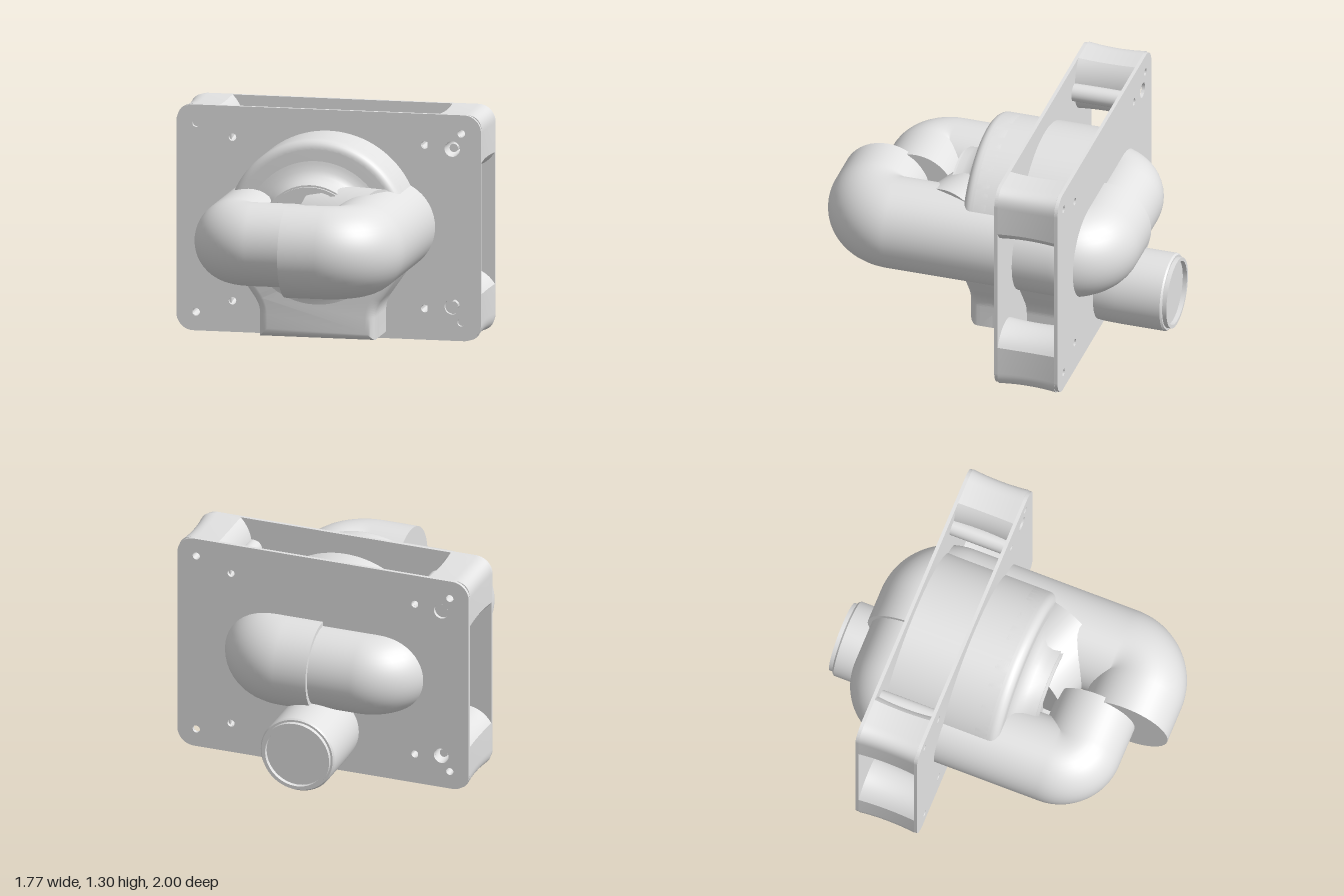
import * as THREE from 'three';
import { toCreasedNormals } from 'three/addons/utils/BufferGeometryUtils.js';

const CY = 0.653; // height of the pump axis
const W = 0.887, H = 0.652; // half width and half height of the plates

export function createModel() {
  const model = new THREE.Group();
  const grey = new THREE.MeshStandardMaterial({ color: 0xe2e2e2 });
  grey.name = 'lightGrey';

  const add = (name, geo, x = 0, y = 0, z = 0, crease = 0.6) => {
    const mesh = new THREE.Mesh(crease ? toCreasedNormals(geo, crease) : geo, grey);
    mesh.name = name;
    mesh.position.set(x, y, z);
    model.add(mesh);
  };
  const hole = (shape, x, y, r) => {
    const p = new THREE.Path();
    p.absarc(x, y, r, 0, Math.PI * 2, true);
    shape.holes.push(p);
  };
  const lathe = (pts, turn) =>
    new THREE.LatheGeometry(pts.map(p => new THREE.Vector2(...p)), 64).rotateX(turn);

  // Two mounting plates; each has its ports on one side only
  function plate(name, z, portSide) {
    const s = new THREE.Shape(), r = 0.1;
    s.absarc(W - r, H - r, r, 0, Math.PI / 2);
    s.absarc(r - W, H - r, r, Math.PI / 2, Math.PI);
    s.absarc(r - W, r - H, r, Math.PI, Math.PI * 1.5);
    s.absarc(W - r, r - H, r, Math.PI * 1.5, Math.PI * 2);
    for (const sy of [-1, 1]) {
      for (const sx of [-1, 1]) {
        hole(s, sx * 0.772, sy * 0.545, 0.022);
        hole(s, sx * 0.56, sy * 0.472, 0.022);
      }
      hole(s, portSide * 0.72, sy * 0.455, 0.045);
    }
    add(name, new THREE.ExtrudeGeometry(s, { depth: 0.02, bevelEnabled: false, curveSegments: 16 }), 0, CY, z);
  }
  plate('frontPlate', -0.21, 1);
  plate('backPlate', -0.567, -1);

  // Rounded, slightly waisted corner blocks and the screw bosses between the plates
  const depth = 0.337;
  for (const sx of [-1, 1]) for (const sy of [-1, 1]) {
    const s = new THREE.Shape();
    s.moveTo(sx * W, sy * 0.38);
    s.lineTo(sx * W, sy * (H - 0.1));
    s.quadraticCurveTo(sx * W, sy * H, sx * (W - 0.1), sy * H);
    s.lineTo(sx * 0.64, sy * H);
    s.quadraticCurveTo(sx * 0.57, sy * 0.58, sx * 0.57, sy * 0.47);
    s.bezierCurveTo(sx * 0.57, sy * 0.37, sx * 0.63, sy * 0.292, sx * 0.73, sy * 0.292);
    s.quadraticCurveTo(sx * 0.83, sy * 0.292, sx * W, sy * 0.38);
    hole(s, sx * 0.772, sy * 0.545, 0.022);
    hole(s, sx * 0.72, sy * 0.455, 0.045);
    const geo = new THREE.ExtrudeGeometry(s, { depth, steps: 10, bevelEnabled: false, curveSegments: 12 });
    const p = geo.attributes.position;
    for (let i = 0; i < p.count; i++) {
      const t = p.getZ(i) / depth * 2 - 1, k = 1 - t * t;
      const squeeze = (v, outer, span) => {
        const u = (outer - Math.abs(v)) / span;
        return Math.sign(v) * (Math.abs(v) + k * (0.01 * u * u - 0.008 * (1 - u)));
      };
      p.setXY(i, squeeze(p.getX(i), W, 0.317), squeeze(p.getY(i), H, 0.36));
    }
    add('cornerBlock', geo, 0, CY, -0.547);
    add('portPin', new THREE.CylinderGeometry(0.024, 0.024, 0.3, 24).rotateX(Math.PI / 2),
      sx * 0.72, CY + sy * 0.455, -0.378);

    const ring = new THREE.Shape();
    ring.absarc(0, 0, 0.052, 0, Math.PI * 2);
    hole(ring, 0, 0, 0.022);
    add('screwBoss', new THREE.ExtrudeGeometry(ring, { depth, bevelEnabled: false }),
      sx * 0.56, CY + sy * 0.472, -0.547);
  }

  // Pump housing: round on top, narrowing to a square outlet open at the bottom
  function housingShape(hollow) {
    const s = new THREE.Shape(), R = 0.532, a = -0.42;
    s.moveTo(0.335, 0.04 - CY);
    s.lineTo(0.335, 0.17 - CY);
    s.quadraticCurveTo(0.335, 0.22 - CY, 0.37, 0.27 - CY);
    s.absarc(0, 0, R, a, Math.PI - a);
    s.lineTo(-0.37, 0.27 - CY);
    s.quadraticCurveTo(-0.335, 0.22 - CY, -0.335, 0.17 - CY);
    s.lineTo(-0.335, 0.04 - CY);
    if (hollow) {
      s.lineTo(-0.3, 0.04 - CY);
      s.lineTo(-0.3, 0.3 - CY);
      s.lineTo(0.3, 0.3 - CY);
      s.lineTo(0.3, 0.04 - CY);
    }
    return s;
  }
  add('housingRear', new THREE.ExtrudeGeometry(housingShape(true),
    { depth: 0.62, bevelEnabled: false, curveSegments: 48 }), 0, CY, -0.55);
  add('housingFront', new THREE.ExtrudeGeometry(housingShape(false), {
    depth: 0.09, bevelThickness: 0.05, bevelSize: 0.05, bevelOffset: -0.05,
    bevelSegments: 6, curveSegments: 48,
  }), 0, CY, -0.005);

  // Flared neck with a lip around the inlet
  add('inletNeck', lathe([[0.45, 0.13], [0.4, 0.137], [0.365, 0.148], [0.335, 0.165], [0.315, 0.195], [0.304, 0.235],
    [0.3, 0.275], [0.29, 0.275], [0.29, 0.29], [0.27, 0.29], [0.27, 0.24], [0, 0.24]], Math.PI / 2), 0, CY, 0);

  // Slanted branch joining the neck to the left pipe
  const branch = new THREE.CylinderGeometry(0.282, 0.275, 0.39, 48);
  branch.rotateZ(-Math.PI / 2).rotateY(-Math.atan2(0.13, 0.36));
  add('inletBranch', branch, 0.2, CY, 0.17);

  // U-shaped capped pipes with tight elbows, running through both plates
  function pipe(name, side, r, x, endX, frontZ, backZ, frontBend, backBend) {
    const V = (a, b) => new THREE.Vector3(a, 0, b);
    const X = side * x, k = 0.4477;
    const fx = X - side * frontBend, bx = X - side * backBend;
    const path = new THREE.CurvePath();
    path.add(new THREE.LineCurve3(V(endX, frontZ), V(fx, frontZ)));
    path.add(new THREE.CubicBezierCurve3(V(fx, frontZ), V(X - side * frontBend * k, frontZ),
      V(X, frontZ - frontBend * k), V(X, frontZ - frontBend)));
    path.add(new THREE.LineCurve3(V(X, frontZ - frontBend), V(X, backZ + backBend)));
    path.add(new THREE.CubicBezierCurve3(V(X, backZ + backBend), V(X, backZ + backBend * k),
      V(X - side * backBend * k, backZ), V(bx, backZ)));
    path.add(new THREE.LineCurve3(V(bx, backZ), V(0, backZ)));
    add(name, new THREE.TubeGeometry(path, 180, r, 48), 0, CY, 0, 0);
    for (const [cx, cz] of [[endX, frontZ], [0, backZ]]) {
      const cap = new THREE.CircleGeometry(r, 48).rotateY(-side * Math.PI / 2);
      add(name + 'Cap', cap, cx, CY, cz, 0);
    }
  }
  pipe('rightPipe', -1, 0.239, 0.39, 0, 0.56, -0.582, 0.12, 0.13);
  pipe('leftPipe', 1, 0.265, 0.355, -0.03, 0.735, -0.58, 0.17, 0.15);

  // Rear port with a stepped rim and a recessed end
  add('rearPort', lathe([[0.215, 0.54], [0.222, 0.6], [0.225, 0.7], [0.225, 0.965], [0.217, 0.975],
    [0.205, 0.975], [0.205, 1], [0.185, 1], [0.185, 0.975], [0, 0.975]], -Math.PI / 2), 0, 0.261, 0);

  return model;
}
